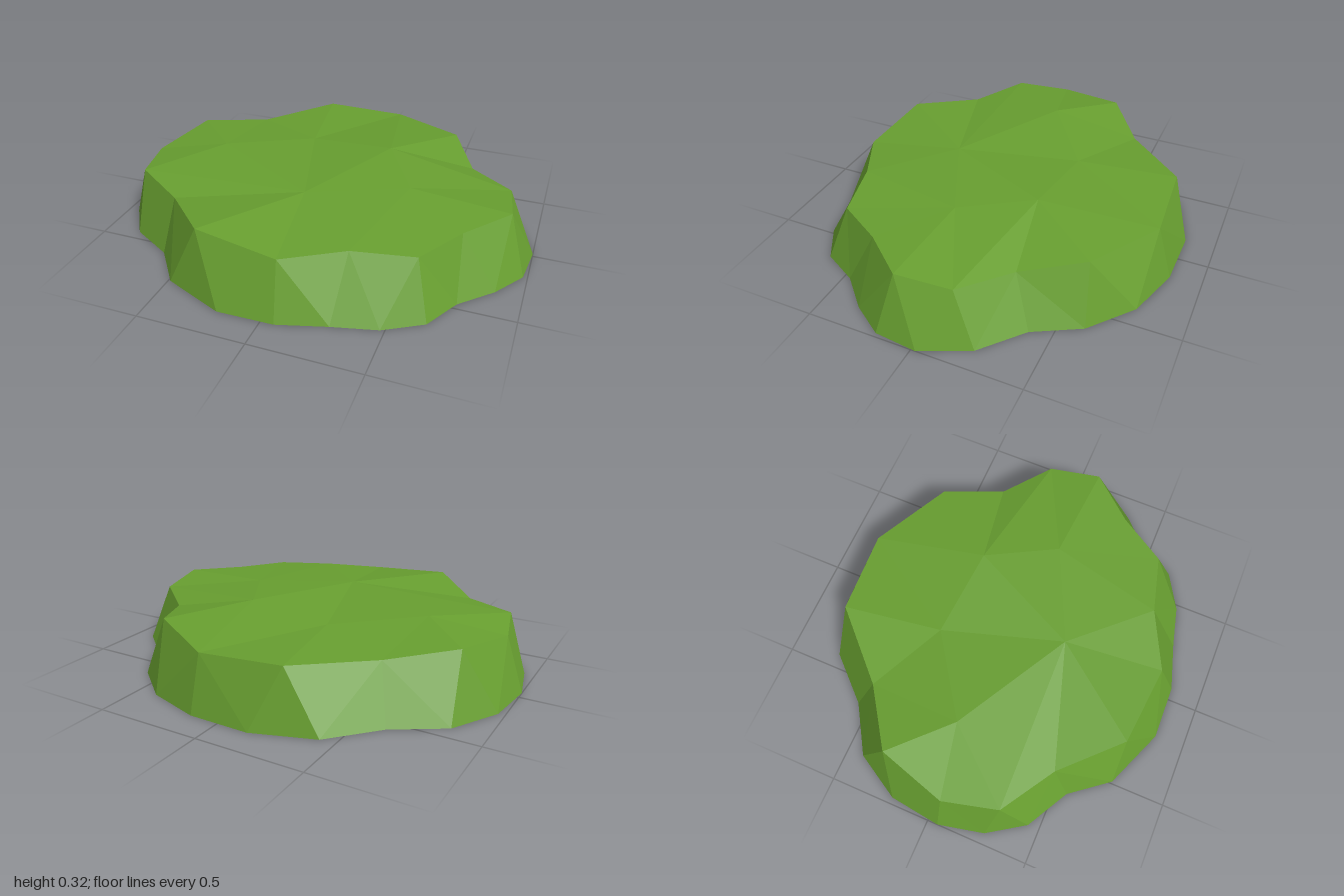
import * as THREE from 'three';

// Ground outline (x, z), running from +x round towards +z
const base = [
  [1, -.02], [.98, .18], [.88, .33], [.74, .47], [.65, .64], [.48, .74], [.28, .79], [.06, .855],
  [-.2, .86], [-.49, .74], [-.63, .56], [-.835, .445], [-.95, .27], [-1, .05], [-.97, -.2], [-.845, -.42],
  [-.62, -.56], [-.43, -.765], [-.15, -.86], [.14, -.855], [.4, -.775], [.6, -.61], [.715, -.4], [.9, -.24],
].map(([x, z]) => new THREE.Vector3(x, 0, z));

// Upper rim (x, y, z), in the same direction
const rim = [
  [.893, .28, .12], [.716, .27, .33], [.58, .262, .555], [.305, .275, .625],
  [.04, .258, .76], [-.35, .295, .72], [-.595, .257, .47], [-.85, .275, .31],
  [-.915, .257, .05], [-.82, .29, -.275], [-.55, .254, -.465], [-.26, .275, -.755],
  [.14, .258, -.78], [.5, .28, -.58], [.64, .24, -.31], [.855, .255, -.13],
].map((p) => new THREE.Vector3(...p));

// Gentle bumps inside the rim
const bumps = {
  A: new THREE.Vector3(-.57, .31, -.02),
  B: new THREE.Vector3(-.02, .304, .29),
  C: new THREE.Vector3(.42, .3, .085),
  D: new THREE.Vector3(-.19, .282, -.28),
  E: new THREE.Vector3(.235, .317, -.24),
};
// The bump that each rim edge fans into
const owners = [...'CCCBBBBAAADDEEEC'];

function facets(name, points, material) {
  const geometry = new THREE.BufferGeometry().setFromPoints(points);
  geometry.computeVertexNormals();
  const mesh = new THREE.Mesh(geometry, material);
  mesh.name = name;
  return mesh;
}

// Zip the two outlines together, always taking the shorter diagonal
function wallPoints() {
  const points = [];
  const lower = (i) => base[i % base.length];
  const upper = (j) => rim[j % rim.length];
  let i = 0, j = 0;
  while (i < base.length || j < rim.length) {
    const stepLower = j === rim.length || (i < base.length &&
      lower(i + 1).distanceTo(upper(j)) < lower(i).distanceTo(upper(j + 1)));
    if (stepLower) points.push(lower(i), upper(j), lower(++i));
    else points.push(lower(i), upper(j), upper(++j));
  }
  return points;
}

// Fan the rim into the bumps, then fill between the bumps
function topPoints() {
  const points = [];
  const n = rim.length;
  rim.forEach((p, k) => {
    const own = owners[k], before = owners[(k + n - 1) % n];
    points.push(bumps[own], rim[(k + 1) % n], p);
    if (own !== before) points.push(p, bumps[before], bumps[own]);
  });
  for (const tri of ['BCE', 'BED', 'BDA']) points.push(...[...tri].map((c) => bumps[c]));
  return points;
}

export function createModel() {
  const grass = new THREE.MeshStandardMaterial({ color: 0x689f30, flatShading: true, side: THREE.DoubleSide });
  grass.name = 'grass green';
  const group = new THREE.Group();
  group.name = 'grassMound';
  // The shell is open underneath
  group.add(facets('slopingSide', wallPoints(), grass), facets('bumpyTop', topPoints(), grass));
  return group;
}
